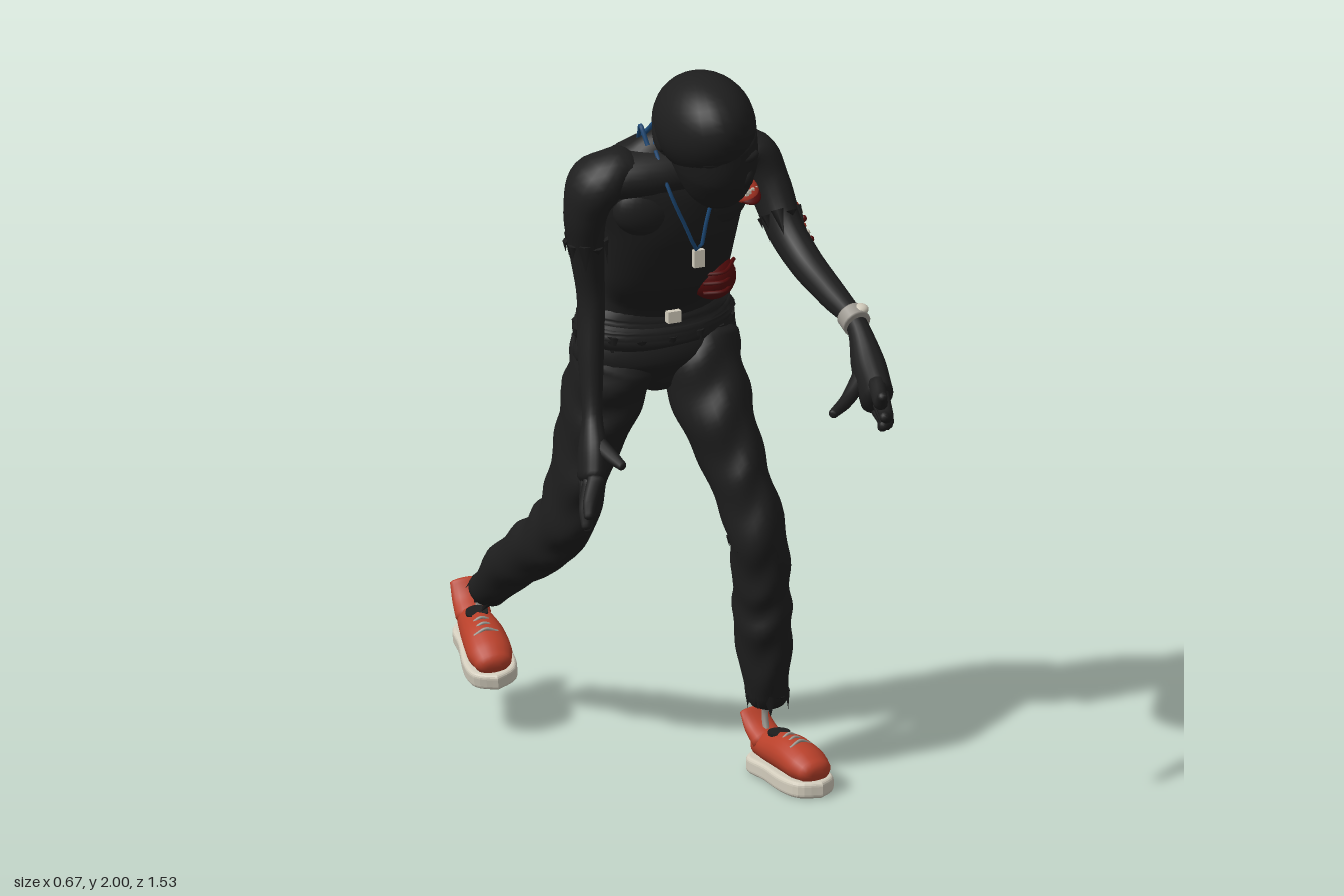
import * as THREE from 'three';

const mat = (name, color, side = THREE.FrontSide) => {
  const m = new THREE.MeshStandardMaterial({ color, side });
  m.name = name;
  return m;
};
const V = (p) => new THREE.Vector3(p[0], p[1], p[2]);

// Elliptical sections [x, y, z, sideRadius, depthRadius] swept smoothly along a path.
function loft(sections, { steps = 6, sides = 20, folds = 0, round = true } = {}) {
  const curve = new THREE.CatmullRomCurve3(sections.map(V), false, 'centripetal');
  const size = new THREE.CatmullRomCurve3(sections.map((s) => new THREE.Vector3(s[3], s[4], 0)), false, 'catmullrom', 0.4);
  const n = (sections.length - 1) * steps;
  const rows = [];
  for (let i = 0; i <= n; i++) rows.push([i / n, 1]);
  if (round) {
    rows.unshift([0, 0.45, -0.5], [0, 0.8, -0.3]);
    rows.push([1, 0.8, 0.3], [1, 0.45, 0.5]);
  }
  const pos = [], idx = [], X = new THREE.Vector3(1, 0, 0);
  for (const [t, scale, out = 0] of rows) {
    const c = curve.getPoint(t), T = curve.getTangent(t), r = size.getPoint(t);
    const S = X.clone().addScaledVector(T, -X.dot(T)).normalize();
    const D = T.clone().cross(S);
    c.addScaledVector(T, out * Math.min(r.x, r.y));
    for (let j = 0; j < sides; j++) {
      const a = (j / sides) * Math.PI * 2;
      const k = scale * (1 + folds * Math.sin(t * 43 + Math.sin(a * 2) * 1.7) * (0.6 + 0.4 * Math.cos(a * 3)));
      const p = c.clone().addScaledVector(S, Math.cos(a) * r.x * k).addScaledVector(D, Math.sin(a) * r.y * k);
      pos.push(p.x, p.y, p.z);
    }
  }
  const last = rows.length - 1;
  for (let i = 0; i < last; i++) for (let j = 0; j < sides; j++) {
    const k = (j + 1) % sides, a = i * sides, b = a + sides;
    idx.push(a + j, a + k, b + k, a + j, b + k, b + j);
  }
  for (let j = 1; j < sides - 1; j++) {
    idx.push(0, j + 1, j, last * sides, last * sides + j, last * sides + j + 1);
  }
  const g = new THREE.BufferGeometry();
  g.setAttribute('position', new THREE.Float32BufferAttribute(pos, 3));
  g.setIndex(idx);
  g.computeVertexNormals();
  return g;
}

export function createModel() {
  const root = new THREE.Group();
  root.name = 'walkingFigure';
  const black = mat('charcoal', 0x1e1e1e);
  const cloth = mat('tornCloth', 0x1c1c1c, THREE.DoubleSide);
  const orange = mat('shoeOrange', 0xb8402a);
  const cream = mat('soleCream', 0xd2ccbc);
  const red = mat('darkRed', 0x520a0a);
  const lip = mat('mouthRed', 0xa83222);
  const blue = mat('cordBlue', 0x1d4a78);
  const grey = mat('bandGrey', 0x9c9890);

  const add = (name, geo, m, parent = root) => {
    const mesh = new THREE.Mesh(geo, m);
    mesh.name = name;
    parent.add(mesh);
    return mesh;
  };
  const blob = (name, m, p, r, rot = [0, 0, 0]) => {
    const b = add(name, new THREE.SphereGeometry(1, 28, 20), m);
    b.position.set(...p);
    b.scale.set(...r);
    b.rotation.set(...rot);
  };
  const tube = (name, pts, r, m, parent = root) =>
    add(name, new THREE.TubeGeometry(new THREE.CatmullRomCurve3(pts.map(V)), 20, r, 6), m, parent);

  // Ragged strips of cloth around a hem: centre, two radii, direction of the strips
  const fray = (name, c, a, b, dir, count, len) => {
    const g = new THREE.Group();
    g.name = name;
    g.quaternion.setFromUnitVectors(new THREE.Vector3(0, -1, 0), V(dir).normalize());
    g.position.set(...c);
    for (let i = 0; i < count; i++) {
      const t = (i / count) * Math.PI * 2, l = len * (0.6 + 0.4 * Math.sin(i * 2.4));
      const s = add('clothStrip', new THREE.ConeGeometry(0.016, l * 2, 4), cloth, g);
      s.position.set(Math.cos(t) * a, -l * 0.6, Math.sin(t) * b);
      s.rotation.set(Math.PI, -t, 0, 'YXZ');
      s.scale.x = 0.4;
    }
    root.add(g);
  };

  // Torso, leaning forward from the hips
  add('torso', loft([
    [0.01, 1.03, -0.16, 0.075, 0.07], [0.005, 1.1, -0.165, 0.21, 0.122], [0, 1.2, -0.165, 0.19, 0.105],
    [0, 1.28, -0.12, 0.158, 0.085], [-0.01, 1.37, -0.055, 0.165, 0.1], [-0.02, 1.5, -0.02, 0.185, 0.125],
    [-0.025, 1.6, 0, 0.21, 0.12], [-0.02, 1.67, 0.015, 0.19, 0.095], [-0.02, 1.72, 0.03, 0.11, 0.06],
  ], { sides: 32 }), black);
  blob('shoulderGirdle', black, [-0.025, 1.645, 0.02], [0.255, 0.075, 0.105], [0, 0, 0.06]);
  for (const s of [-1, 1]) {
    blob('chest', black, [-0.025 + s * 0.08, 1.56, 0.055], [0.1, 0.08, 0.055]);
    blob('buttock', black, [s * 0.1, 1.09, -0.21], [0.1, 0.1, 0.085]);
  }
  // Trouser waistband with torn edge
  add('waistband', loft([[0, 1.16, -0.166, 0.212, 0.124], [0, 1.205, -0.16, 0.202, 0.114], [0, 1.235, -0.152, 0.185, 0.1]],
    { sides: 32, folds: 0.05 }), black);
  fray('waistFray', [0, 1.17, -0.165], 0.208, 0.12, [0, -1, -0.1], 16, 0.03);
  add('buckle', new THREE.BoxGeometry(0.035, 0.03, 0.02), cream).position.set(0, 1.22, -0.043);
  blob('sideWound', red, [0.093, 1.322, -0.018], [0.06, 0.06, 0.058]);
  for (let i = 0; i < 3; i++) {
    tube('exposedRib', [[0.05, 1.295 + i * 0.025, 0.026], [0.1, 1.3 + i * 0.025, 0.042], [0.148, 1.31 + i * 0.025, -0.01]], 0.005, red);
  }

  // Neck and tilted head
  add('neck', loft([[-0.02, 1.66, -0.02, 0.1, 0.07], [-0.03, 1.72, 0.06, 0.065, 0.055], [-0.04, 1.765, 0.14, 0.055, 0.05],
    [-0.06, 1.82, 0.25, 0.06, 0.06]]), black);
  blob('skull', black, [-0.08, 1.865, 0.325], [0.122, 0.13, 0.188], [-0.2, -0.12, 0.1]);
  add('face', loft([[-0.075, 1.86, 0.35, 0.11, 0.14], [-0.06, 1.79, 0.335, 0.105, 0.142], [-0.045, 1.735, 0.315, 0.092, 0.115],
    [-0.02, 1.68, 0.28, 0.066, 0.07], [-0.005, 1.65, 0.258, 0.038, 0.035]], { sides: 28 }), black);
  blob('nose', black, [-0.02, 1.755, 0.44], [0.02, 0.033, 0.026], [0.6, 0, 0.1]);
  for (const s of [-1, 1]) {
    blob('brow', black, [-0.065 + s * 0.04, 1.81, 0.45], [0.04, 0.016, 0.025], [0, s * 0.3, 0.1]);
    blob('ear', black, [-0.07 + s * 0.112, 1.845 + s * 0.008, 0.285], [0.016, 0.045, 0.026], [-0.3, 0, 0]);
    // Gashes on the side of the neck
    for (let i = 0; i < 3; i++) {
      const z = 0.135 + i * 0.02, y = 1.768 + i * 0.015;
      tube('neckGash', [[-0.04 + s * 0.035, y + 0.026, z - 0.01], [-0.04 + s * 0.056, y, z], [-0.04 + s * 0.05, y - 0.018, z + 0.03]], 0.005, red);
    }
  }
  blob('mouth', lip, [0.015, 1.685, 0.338], [0.04, 0.02, 0.05], [0.5, 0.3, 0.1]);
  blob('mouthInside', red, [0.02, 1.68, 0.346], [0.034, 0.012, 0.05], [0.5, 0.3, 0.1]);
  for (let i = 0; i < 4; i++) {
    add('tooth', new THREE.BoxGeometry(0.008, 0.01, 0.008), cream).position.set(0.008 + i * 0.012, 1.686, 0.386 - i * 0.01);
  }

  // Cord with pendant, and its loose ends on the shoulders
  tube('neckCord', [[-0.1, 1.71, 0.075], [-0.085, 1.62, 0.124], [-0.04, 1.52, 0.118], [0.005, 1.44, 0.102], [0.018, 1.52, 0.118],
    [0.035, 1.62, 0.126], [0.045, 1.71, 0.075]], 0.005, blue);
  add('pendant', new THREE.BoxGeometry(0.028, 0.045, 0.014), cream).position.set(0.005, 1.42, 0.1);
  for (const x of [-0.115, 0.04]) for (const d of [-1, 1]) {
    tube('cordKnot', [[x, 1.72, 0.005], [x + d * 0.012, 1.755, 0.04], [x + d * 0.018, 1.775, 0.06], [x + d * 0.01, 1.73, 0.085]], 0.006, blue);
  }

  // Arms
  add('rightArm', loft([[-0.15, 1.65, 0.01, 0.062, 0.08], [-0.232, 1.625, 0.015, 0.064, 0.085], [-0.255, 1.55, 0, 0.053, 0.065],
    [-0.24, 1.43, -0.025, 0.042, 0.05], [-0.225, 1.31, -0.035, 0.034, 0.042], [-0.232, 1.17, -0.02, 0.032, 0.038],
    [-0.243, 1.02, 0.015, 0.025, 0.028], [-0.258, 0.94, 0.05, 0.034, 0.048], [-0.272, 0.88, 0.075, 0.032, 0.05]]), black);
  add('leftArm', loft([[0.1, 1.66, 0.01, 0.062, 0.08], [0.18, 1.635, 0.015, 0.064, 0.09], [0.213, 1.57, 0.05, 0.052, 0.07],
    [0.23, 1.47, 0.12, 0.045, 0.055], [0.245, 1.41, 0.21, 0.042, 0.045], [0.262, 1.365, 0.33, 0.036, 0.037],
    [0.275, 1.325, 0.45, 0.027, 0.028], [0.268, 1.245, 0.54, 0.042, 0.052], [0.255, 1.195, 0.62, 0.04, 0.06]]), black);
  fray('rightSleeveFray', [-0.245, 1.46, -0.02], 0.05, 0.058, [0.1, -1, -0.1], 9, 0.04);
  fray('leftSleeveFray', [0.225, 1.5, 0.1], 0.05, 0.06, [0.1, -1, 0.5], 9, 0.035);
  add('wristBand', loft([[0.271, 1.343, 0.42, 0.036, 0.037], [0.275, 1.327, 0.455, 0.036, 0.037]], { round: false }), grey);
  blob('wristDial', cream, [0.288, 1.36, 0.44], [0.022, 0.014, 0.022]);
  // Scrape on the left arm
  for (let i = 0; i < 6; i++) {
    blob('armScrape', [lip, cream, red][i % 3], [0.266 + 0.004 * (i % 3), 1.52 - i * 0.013, 0.1 + i * 0.015], [0.008, 0.009, 0.008]);
  }

  // Fingers: base, knuckle bend and tip
  const finger = (side, base, mid, tip) =>
    add(side + 'Finger', loft([[...base, 0.022, 0.022], [...mid, 0.018, 0.018], [...tip, 0.012, 0.012]], { sides: 10 }), black);
  finger('left', [0.25, 1.235, 0.63], [0.225, 1.215, 0.71], [0.21, 1.25, 0.755]);
  finger('left', [0.255, 1.21, 0.64], [0.24, 1.18, 0.71], [0.215, 1.195, 0.755]);
  finger('left', [0.26, 1.18, 0.635], [0.25, 1.155, 0.69], [0.225, 1.16, 0.725]);
  finger('left', [0.265, 1.16, 0.61], [0.26, 1.145, 0.65], [0.24, 1.14, 0.685]);
  finger('left', [0.25, 1.23, 0.54], [0.19, 1.19, 0.59], [0.13, 1.175, 0.635]);
  finger('right', [-0.275, 0.885, 0.11], [-0.3, 0.835, 0.13], [-0.312, 0.805, 0.15]);
  finger('right', [-0.278, 0.875, 0.09], [-0.3, 0.81, 0.105], [-0.308, 0.77, 0.125]);
  finger('right', [-0.277, 0.865, 0.07], [-0.29, 0.8, 0.085], [-0.29, 0.752, 0.1]);
  finger('right', [-0.273, 0.865, 0.05], [-0.275, 0.81, 0.06], [-0.27, 0.775, 0.07]);
  finger('right', [-0.25, 0.96, 0.06], [-0.235, 0.94, 0.11], [-0.222, 0.925, 0.15]);

  // Trouser legs
  add('leftLeg', loft([[0.11, 1.1, -0.16, 0.105, 0.115], [0.125, 0.96, -0.085, 0.095, 0.108], [0.16, 0.8, -0.02, 0.073, 0.1],
    [0.19, 0.65, 0.038, 0.072, 0.08], [0.21, 0.5, 0.018, 0.07, 0.08], [0.22, 0.38, 0.005, 0.07, 0.082],
    [0.236, 0.2, -0.005, 0.052, 0.056]], { steps: 12, sides: 28, folds: 0.07 }), black);
  add('rightLeg', loft([[-0.1, 1.1, -0.17, 0.105, 0.118], [-0.125, 0.96, -0.205, 0.095, 0.11], [-0.162, 0.8, -0.235, 0.068, 0.097],
    [-0.178, 0.65, -0.28, 0.07, 0.085], [-0.195, 0.555, -0.365, 0.073, 0.078], [-0.22, 0.455, -0.5, 0.069, 0.066],
    [-0.237, 0.335, -0.635, 0.052, 0.046]], { steps: 12, sides: 28, folds: 0.07 }), black);
  fray('leftHem', [0.236, 0.21, -0.005], 0.05, 0.054, [0.05, -1, 0], 10, 0.03);
  fray('rightHem', [-0.236, 0.342, -0.63], 0.046, 0.044, [-0.1, -0.7, -0.7], 10, 0.03);
  fray('leftKneeTear', [0.19, 0.64, 0.035], 0.068, 0.074, [0, -1, 0.1], 9, 0.035);
  tube('leftAnkleBone', [[0.238, 0.2, -0.005], [0.24, 0.15, -0.03], [0.24, 0.08, -0.01]], 0.009, grey);
  tube('rightAnkleBone', [[-0.237, 0.335, -0.63], [-0.238, 0.3, -0.68], [-0.24, 0.23, -0.69]], 0.009, grey);

  // Shoes: rounded sole, upper, heel tab, laces
  const shoe = (name, p, rot) => {
    const g = new THREE.Group();
    g.name = name;
    const outline = new THREE.Shape(new THREE.SplineCurve([[0, 0.137], [0.045, 0.11], [0.055, 0.05], [0.044, -0.04], [0.042, -0.11], [0, -0.137],
      [-0.042, -0.11], [-0.044, -0.04], [-0.055, 0.05], [-0.045, 0.11], [0, 0.137]].map((q) => new THREE.Vector2(q[0], -q[1]))).getPoints(40));
    const sole = new THREE.ExtrudeGeometry(outline, { depth: 0.02, bevelSize: 0.01, bevelThickness: 0.011, bevelSegments: 4 });
    sole.rotateX(-Math.PI / 2).translate(0, 0.011, 0);
    add('sole', sole, cream, g);
    add('upper', loft([[0, 0.06, 0.115, 0.045, 0.03], [0, 0.068, 0.075, 0.056, 0.042], [0, 0.076, 0.01, 0.054, 0.048],
      [0, 0.072, -0.06, 0.046, 0.042], [0, 0.07, -0.115, 0.038, 0.036]]), orange, g);
    add('heelTab', loft([[0, 0.08, -0.09, 0.045, 0.03], [0, 0.105, -0.13, 0.042, 0.022], [0, 0.14, -0.16, 0.038, 0.012]]), orange, g);
    add('ankleOpening', new THREE.CylinderGeometry(0.028, 0.028, 0.008, 20), black, g).position.set(0, 0.114, -0.045);
    for (let i = 0; i < 3; i++) {
      tube('lace', [[-0.03, 0.108, i * 0.024], [0, 0.126 - i * 0.002, i * 0.024], [0.03, 0.108, i * 0.024]], 0.004, grey, g);
    }
    g.position.set(...p);
    g.rotation.set(...rot, 'YXZ');
    root.add(g);
  };
  shoe('leftShoe', [0.26, 0, 0.075], [0, 0.18, 0]);
  shoe('rightShoe', [-0.25, 0.155, -0.625], [0.19, -0.17, 0.12]);
  return root;
}
